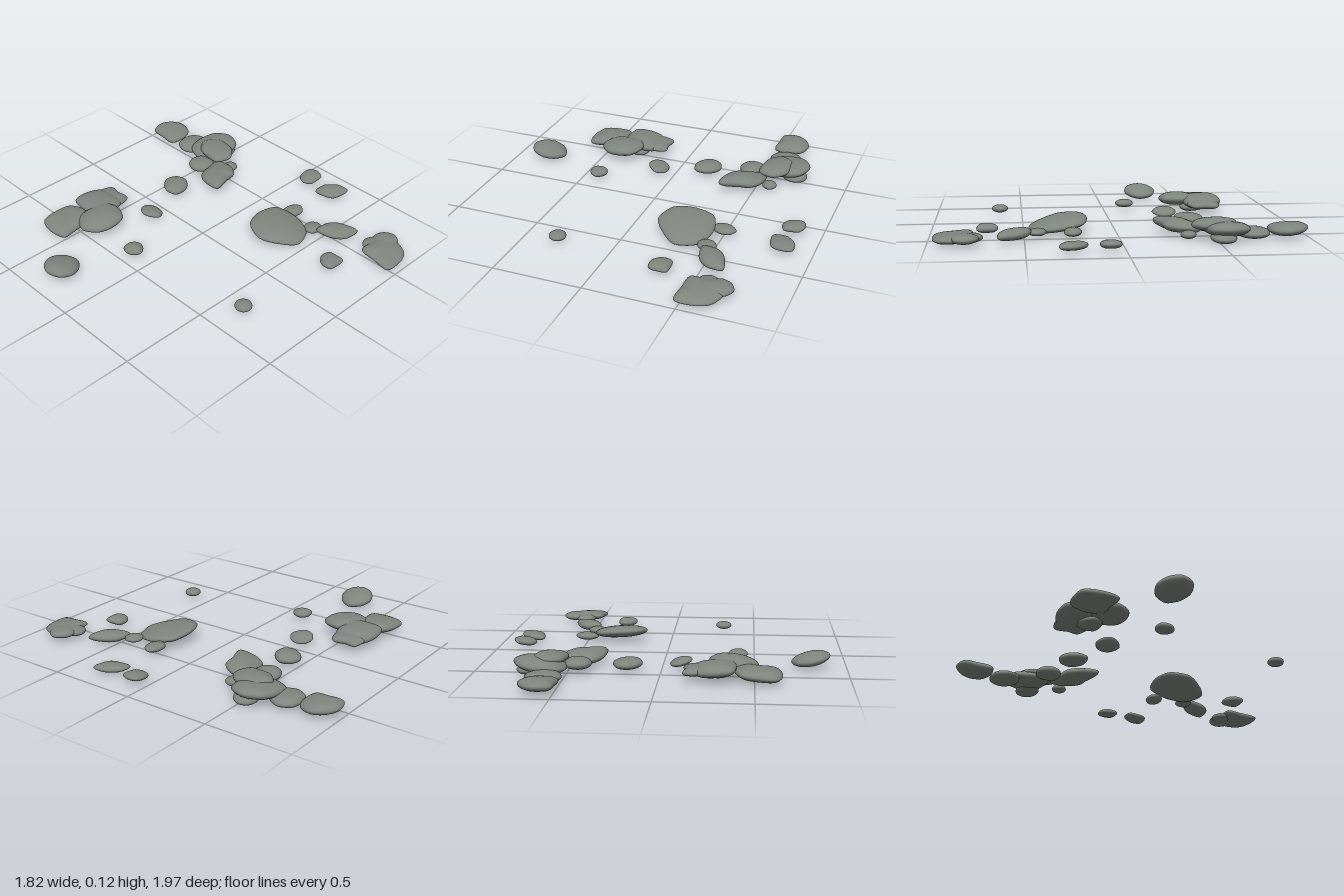
import * as THREE from 'three';
import { mergeVertices } from 'three/addons/utils/BufferGeometryUtils.js';

const UNIT = 1 / 190; // outline radii are given in this small unit

// Flat pebble: eight plan radii (from +x towards +z), half thickness and tilt
function pebbleGeometry(radii, half, tiltX, tiltZ) {
  const outline = new THREE.CatmullRomCurve3(radii.map((r, i) => {
    const a = (i / radii.length) * Math.PI * 2;
    return new THREE.Vector3(Math.cos(a) * r * UNIT, 0, Math.sin(a) * r * UNIT);
  }), true, 'catmullrom', 0.42);
  let geo = new THREE.SphereGeometry(1, 40, 18);
  geo.deleteAttribute('uv');
  geo.deleteAttribute('normal');
  const pos = geo.attributes.position;
  const v = new THREE.Vector3();
  for (let i = 0; i < pos.count; i++) {
    v.fromBufferAttribute(pos, i);
    const t = (Math.atan2(v.z, v.x) / (Math.PI * 2) + 1) % 1;
    const spread = Math.pow(Math.min(1, Math.hypot(v.x, v.z)), 0.9);
    const p = outline.getPoint(t).multiplyScalar(spread);
    pos.setXYZ(i, p.x, v.y * half + p.x * tiltX + p.z * tiltZ, p.z);
  }
  geo = mergeVertices(geo, 1e-5);
  geo.computeVertexNormals();
  return geo;
}

export function createModel() {
  const model = new THREE.Group();
  model.name = 'scatteredStones';
  const stoneGrey = new THREE.MeshStandardMaterial({ color: 0x80847e });
  stoneGrey.name = 'stoneGrey';

  const clump = (name) => {
    const group = new THREE.Group();
    group.name = name;
    model.add(group);
    return (part, x, y, z, radii, half, tiltX = 0, tiltZ = 0) => {
      const mesh = new THREE.Mesh(pebbleGeometry(radii, half, tiltX, tiltZ), stoneGrey);
      mesh.name = part;
      mesh.position.set(x, y, z);
      group.add(mesh);
    };
  };

  // Pile at the back on the right-hand side
  let add = clump('backLeftPile');
  add('wideStone', -0.52, 0.047, -0.59, [24, 27, 19, 28, 24, 26, 21, 24], 0.036, 0.08);
  add('squareStone', -0.29, 0.067, -0.585, [21, 25, 22, 26, 22, 26, 22, 23], 0.04, -0.08);
  add('topStone', -0.39, 0.069, -0.45, [25, 25, 21, 22, 25, 24, 20, 25], 0.04, 0.08);
  add('edgeStone', -0.2, 0.06, -0.585, [12, 19, 19, 16, 14, 16, 17, 19], 0.026, -0.06);
  add('underStone', -0.31, 0.03, -0.52, [13, 14, 12, 13, 14, 12, 13, 14], 0.026);

  // Heap at the back on the other side
  add = clump('backRightHeap');
  add('rearStone', 0.58, 0.052, -0.89, [19, 20, 20, 24, 17, 22, 20, 18], 0.034, 0, -0.06);
  add('secondStone', 0.585, 0.037, -0.7, [19, 18, 17, 18, 18, 17, 16, 18], 0.03);
  add('broadStone', 0.635, 0.066, -0.55, [26, 26, 22, 28, 28, 28, 23, 24], 0.04, 0.12);
  add('topStone', 0.59, 0.087, -0.485, [16, 18, 22, 23, 17, 19, 23, 20], 0.034, 0.03, -0.05);
  add('longStone', 0.43, 0.057, -0.315, [22, 19, 16, 30, 21, 19, 18, 30], 0.037, 0, 0.08);
  add('sideStone', 0.44, 0.055, -0.475, [14, 16, 14, 14, 14, 14, 14, 15], 0.032);
  add('smallStone', 0.58, 0.03, -0.355, [8, 8, 8, 8, 8, 8, 8, 8], 0.022);
  add('lowStone', 0.69, 0.032, -0.52, [14, 13, 13, 14, 14, 13, 13, 14], 0.028, -0.06);

  // Large front stone with its neighbours
  add = clump('frontStones');
  add('largeStone', 0.295, 0.057, 0.31, [31, 32, 31, 25, 29, 30, 29, 34], 0.036, -0.06, -0.16);
  add('nearStone', 0.5, 0.04, 0.245, [13, 11, 9, 10, 13, 11, 9, 10], 0.022);
  add('wedgeStone', 0.46, 0.036, 0.43, [11, 11, 9, 9, 9, 9, 9, 10], 0.02);
  add('longStone', 0.535, 0.042, 0.55, [13, 23, 16, 13, 14, 22, 15, 12], 0.03, 0, -0.03);

  // Clump at the very front
  add = clump('frontClump');
  add('mainStone', 0.58, 0.04, 0.86, [22, 21, 21, 28, 19, 24, 18, 24], 0.028, 0, -0.1);
  add('sideStone', 0.655, 0.045, 0.805, [15, 14, 13, 13, 14, 14, 14, 14], 0.026);
  add('rearStone', 0.59, 0.038, 0.775, [12, 11, 11, 11, 12, 12, 12, 12], 0.024);

  // Single stones lying apart
  add = clump('looseStones');
  add('farStone', -0.81, 0.053, -0.27, [21, 18, 18, 19, 19, 18, 19, 20], 0.037, -0.18);
  add('smallStoneA', -0.41, 0.04, -0.13, [10, 10, 11, 10, 10, 11, 10, 10], 0.024);
  add('slopingStone', -0.1, 0.037, -0.33, [11, 12, 14, 12, 12, 12, 13, 12], 0.022, -0.22);
  add('roundStone', 0.18, 0.045, -0.42, [15, 13, 14, 17, 15, 14, 16, 16], 0.031);
  add('smallStoneB', 0.84, 0.041, 0.08, [13, 13, 10, 12, 12, 12, 11, 13], 0.023, 0.12);
  add('angularStone', 0.83, 0.034, 0.265, [13, 18, 13, 13, 13, 19, 14, 11], 0.022, 0.06);
  add('smallStoneC', 0.305, 0.034, 0.695, [11, 14, 11, 13, 11, 10, 11, 13], 0.025);
  add('smallStoneD', -0.31, 0.036, 0.63, [9, 9, 9, 9, 9, 9, 9, 9], 0.023);

  // Rest the lowest stone on the ground
  const box = new THREE.Box3().setFromObject(model, true);
  model.children.forEach((group) => { group.position.y -= box.min.y; });
  return model;
}
